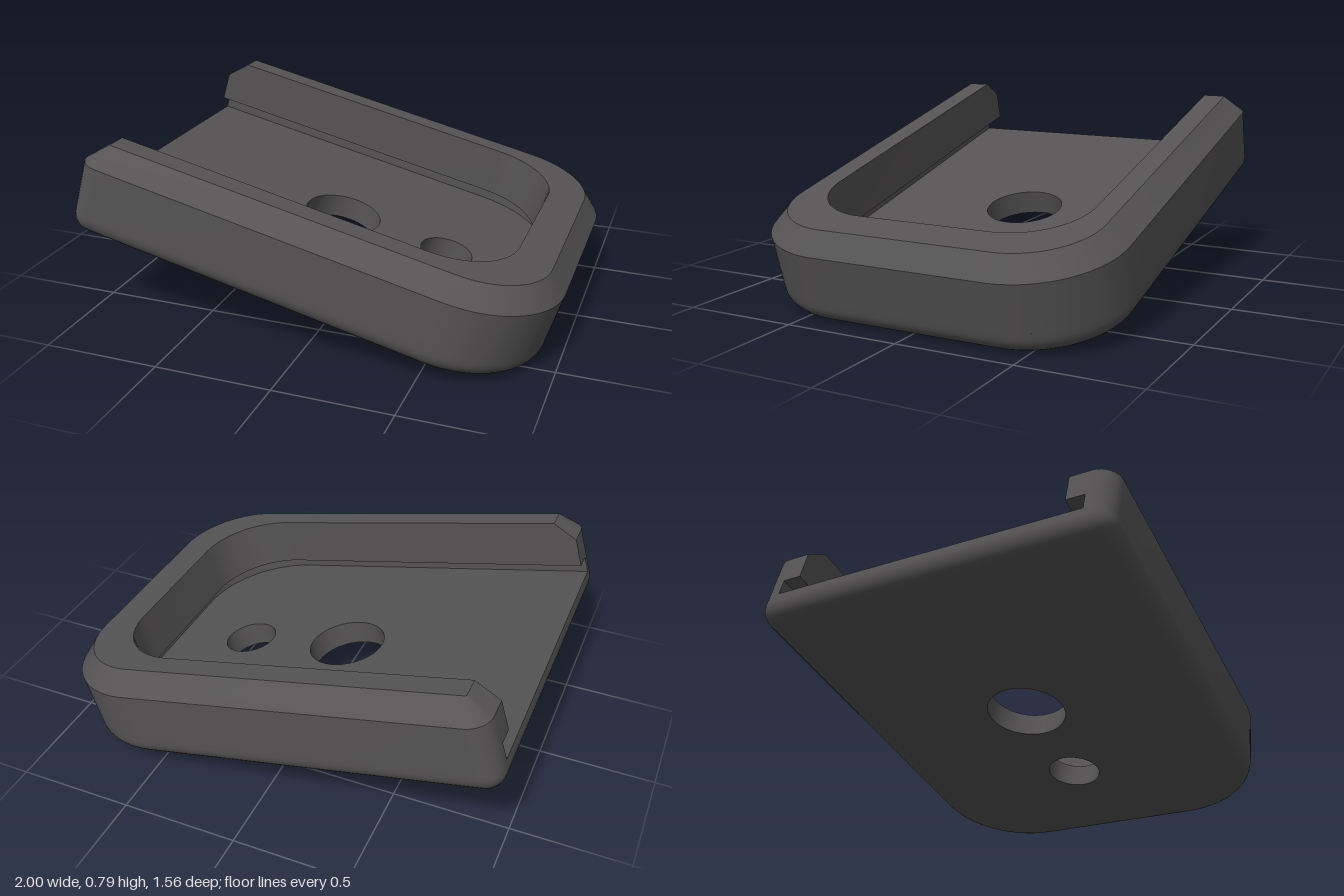
import * as THREE from 'three';
import { toCreasedNormals } from 'three/addons/utils/BufferGeometryUtils.js';

// Plan dimensions (u along the length, s across) and heights v, before tilting
const LEFT = -1.077, RIGHT = 0.9, HALF = 0.78, R_END = 0.4, R_TIP = 0.09;
const IN_RIGHT = 0.66, IN_HALF = 0.597, R_IN = 0.3;
const BOTTOM = 0.192, FLOOR = 0.3, GROOVE = 0.375, SHOULDER = 0.507, TOP = 0.59;
const FILLET = 0.08, TILT = THREE.MathUtils.degToRad(13), LEAN = 0.07;

function arc(cx, cy, r, from, to, n = 14) {
  return Array.from({ length: n + 1 }, (_, i) => {
    const a = THREE.MathUtils.degToRad(from + (to - from) * i / n);
    return new THREE.Vector2(cx + r * Math.cos(a), cy + r * Math.sin(a));
  });
}

// Outer outline inset by d, counter-clockwise from the left end
function outline(d) {
  const cu = RIGHT - R_END, cs = HALF - R_END, r = R_END - d;
  const t = Math.max(R_TIP - d, 0.006), tu = LEFT + d + t, ts = HALF - d - t;
  return [
    ...arc(tu, -ts, t, 180, 270, 8),
    ...arc(cu, -cs, r, -90, 0),
    ...arc(cu, cs, r, 0, 90),
    ...arc(tu, ts, t, 90, 180, 8),
  ];
}

// U-shaped wall outline: outside inset by d, inside widened by e
function wallOutline(d, e) {
  const cu = IN_RIGHT - R_IN, cs = IN_HALF - R_IN, r = R_IN + e;
  return [
    ...outline(d),
    new THREE.Vector2(LEFT + d, IN_HALF + e),
    ...arc(cu, cs, r, 90, 0),
    ...arc(cu, -cs, r, 0, -90),
    new THREE.Vector2(LEFT + d, -IN_HALF - e),
  ];
}

// Collects triangles; each plan point is leaned slightly with height
class Surface {
  constructor() { this.pos = []; }
  tri(...corners) {
    const p = corners.map(([q, v]) => new THREE.Vector3(q.x + LEAN * (v - 0.39), v, -q.y));
    if (new THREE.Triangle(...p).getArea() < 1e-9) return;
    p.forEach((k) => this.pos.push(k.x, k.y, k.z));
  }
  loft(levels) {
    for (let k = 0; k + 1 < levels.length; k++) {
      const [a, va] = levels[k], [b, vb] = levels[k + 1];
      a.forEach((_, i) => {
        const j = (i + 1) % a.length;
        this.tri([a[i], va], [a[j], va], [b[j], vb]);
        this.tri([a[i], va], [b[j], vb], [b[i], vb]);
      });
    }
  }
  cap(contour, holes, v, up) {
    const all = [contour, ...holes].flat();
    for (const [a, b, c] of THREE.ShapeUtils.triangulateShape(contour, holes)) {
      const ccw = THREE.ShapeUtils.area([all[a], all[b], all[c]]) > 0;
      const [p, q] = ccw === up ? [b, c] : [c, b];
      this.tri([all[a], v], [all[p], v], [all[q], v]);
    }
  }
  mesh(name, material) {
    const g = new THREE.BufferGeometry();
    g.setAttribute('position', new THREE.Float32BufferAttribute(this.pos, 3));
    const m = new THREE.Mesh(toCreasedNormals(g, 0.5), material);
    m.name = name;
    return m;
  }
}

export function createModel() {
  const group = new THREE.Group();
  group.name = 'tiltedTray';
  const material = new THREE.MeshStandardMaterial({ color: 0x555353 });

  // Base plate with a rounded lower edge and two through holes
  const base = new Surface();
  const levels = [];
  for (let i = 0; i <= 8; i++) {
    const a = i / 8 * Math.PI / 2;
    levels.push([outline(FILLET * (1 - Math.sin(a))), BOTTOM + FILLET * (1 - Math.cos(a))]);
  }
  levels.push([outline(0), FLOOR]);
  base.loft(levels);
  const holes = [[-0.143, 0.17], [0.356, 0.117]].map(([u, r]) => arc(u, 0, r, 360, 0, 48).slice(0, -1));
  base.cap(levels[0][0], holes, BOTTOM, false);
  base.cap(outline(0), holes, FLOOR, true);
  holes.forEach((h) => base.loft([[h, BOTTOM], [h, FLOOR]]));
  group.add(base.mesh('basePlate', material));

  // U-shaped wall with an undercut groove inside and a chamfered top
  const wall = new Surface();
  const top = wallOutline(0.085, 0);
  wall.loft([
    [wallOutline(0, 0.08), FLOOR],
    [wallOutline(0, 0.08), GROOVE],
    [wallOutline(0, 0), GROOVE],
    [wallOutline(0, 0), SHOULDER],
    [top, TOP],
  ]);
  wall.cap(top, [], TOP, true);
  group.add(wall.mesh('rimWall', material));

  group.rotation.z = -TILT;
  const root = new THREE.Group();
  root.add(group);
  return root;
}
